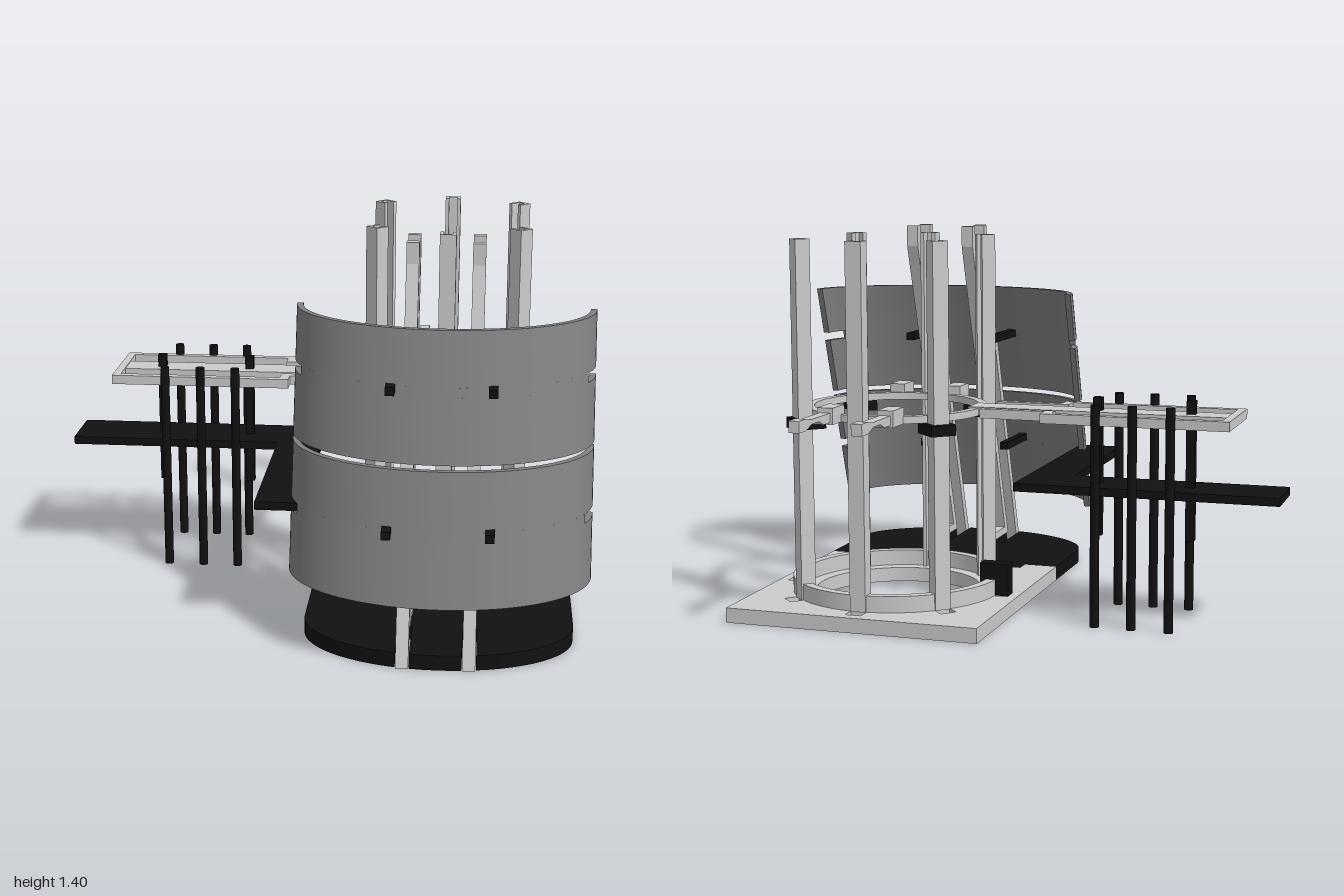
import * as THREE from 'three';
import { toCreasedNormals } from 'three/addons/utils/BufferGeometryUtils.js';

const GREY = new THREE.MeshStandardMaterial({ color: 0xcccccc });
const DARK = new THREE.MeshStandardMaterial({ color: 0x808080 });
const BLACK = new THREE.MeshStandardMaterial({ color: 0x111111 });
const CX = 0.46, CZ = -0.245; // centre of the round frame

export function createModel() {
  const root = new THREE.Group();
  const add = (name, geo, mat = GREY) => {
    const m = new THREE.Mesh(geo, mat);
    m.name = name;
    root.add(m);
    return m;
  };
  // Box from its limits on each axis
  const box = (name, x0, x1, y0, y1, z0, z1, mat) =>
    add(name, new THREE.BoxGeometry(x1 - x0, y1 - y0, z1 - z0)
      .translate((x0 + x1) / 2, (y0 + y1) / 2, (z0 + z1) / 2), mat);
  const poly = (pts) => new THREE.Shape(pts.map(([a, b]) => new THREE.Vector2(a, b)));
  const rect = (x0, x1, z0, z1) => poly([[x0, z0], [x1, z0], [x1, z1], [x0, z1]]);
  // Plan outline (x, z) raised from y0 to y1
  const slab = (shape, y0, y1) => toCreasedNormals(
    new THREE.ExtrudeGeometry(shape, { depth: y1 - y0, bevelEnabled: false, curveSegments: 48 })
      .rotateX(Math.PI / 2).translate(0, y1, 0), 0.5);
  // Side outline (z, y) given a width along x
  const side = (pts, x, w) =>
    new THREE.ExtrudeGeometry(poly(pts), { depth: w, bevelEnabled: false })
      .rotateY(-Math.PI / 2).translate(x + w / 2, 0, 0);
  const circle = (r, x = 0, z = 0) => new THREE.Shape().absarc(x, z, r, 0, Math.PI * 2);
  const ring = (name, ri, ro, y0, y1) => {
    const s = circle(ro, CX, CZ);
    s.holes.push(circle(ri, CX, CZ));
    add(name, slab(s, y0, y1));
  };

  // Base plate with round opening, eight slots and two joint notches
  const plate = poly([[-0.02, -0.73], [0.94, -0.73], [0.94, 0.24], [0.81, 0.24], [0.81, 0.18],
    [0.69, 0.18], [0.69, 0.24], [0.225, 0.24], [0.225, 0.18], [0.11, 0.18], [0.11, 0.24], [-0.02, 0.24]]);
  plate.holes.push(circle(0.31, CX, CZ));
  for (let i = 0; i < 8; i++) {
    const a = i * Math.PI / 4, c = Math.cos(a), s = Math.sin(a);
    plate.holes.push(poly([[0.39, -0.03], [0.445, -0.03], [0.445, 0.03], [0.39, 0.03]]
      .map(([r, t]) => [CX + r * c - t * s, CZ + r * s + t * c])));
  }
  add('basePlate', slab(plate, 0, 0.055));
  ring('baseRing', 0.36, 0.395, 0.055, 0.115);
  ring('upperRing', 0.305, 0.337, 0.73, 0.757);
  box('baseClip', 0.015, 0.125, 0.055, 0.175, -0.27, -0.215, BLACK);

  // Front base: rounded end, joint tabs and slots for the strut feet
  const frontZ = (x) => 0.55 + 0.3 * Math.sqrt(Math.max(0, 1 - ((x - CX) / 0.48) ** 2));
  const edge = [];
  for (let i = 0; i <= 32; i++) {
    const x = CX + 0.48 * Math.cos(i / 32 * Math.PI);
    if (![0.345, 0.575].some((c) => Math.abs(x - c) < 0.026)) edge.push([x, frontZ(x)]);
  }
  for (const c of [0.345, 0.575]) {
    const a = c + 0.025, b = c - 0.025;
    edge.push([a, frontZ(a)], [a - 1e-5, 0.6], [b + 1e-5, 0.6], [b, frontZ(b)]);
  }
  edge.sort((p, q) => q[0] - p[0]);
  add('frontBase', slab(poly([[-0.02, 0.24], [0.11, 0.24], [0.11, 0.18], [0.225, 0.18], [0.225, 0.24],
    [0.69, 0.24], [0.69, 0.18], [0.81, 0.18], [0.81, 0.24], [0.94, 0.24], ...edge]), 0, 0.055), BLACK);

  // Channel posts open toward the centre; clamps on the diagonal ones
  const channel = poly([[-0.03, 0.345], [-0.016, 0.345], [-0.016, 0.386], [0.016, 0.386],
    [0.016, 0.345], [0.03, 0.345], [0.03, 0.4], [-0.03, 0.4]]);
  const clamp = rect(-0.0475, 0.0475, 0.3, 0.418);
  clamp.holes.push(rect(-0.03, 0.03, 0.345, 0.4));
  const around = (mesh, a) => {
    mesh.position.set(CX, 0, CZ);
    mesh.rotation.y = a;
  };
  for (const k of [0, 1, 3, 4, 5, 7]) {
    around(add('post', slab(channel, 0.055, 1.38)), k * Math.PI / 4);
    if (k % 2) around(add('postClamp', slab(clamp, 0.69, 0.73), BLACK), k * Math.PI / 4);
  }

  for (const x of [0.345, 0.575]) {
    // Ring brackets and the rear arms
    box('frontBracket', x - 0.03, x + 0.03, 0.73, 0.79, 0.055, 0.16);
    box('rearBracket', x - 0.03, x + 0.03, 0.73, 0.79, -0.645, -0.54);
    add('rearArm', side([[-0.64, 0.738], [-0.7, 0.738], [-0.74, 0.755], [-0.8, 0.755], [-0.85, 0.738],
      [-0.905, 0.738], [-0.905, 0.78], [-0.85, 0.78], [-0.8, 0.772], [-0.64, 0.772]], x, 0.04));
    // Leaning shield struts
    add('frontStrut', side([[0.41, 1.4], [0.375, 1.4], [0.375, 1.32], [0.81, 0], [0.848, 0],
      [0.41, 1.325]], x, 0.045));
    add('rearStrut', side([[0.268, 1.4], [0.235, 1.4], [0.235, 1.32], [0.635, 0.115], [0.465, 0.115],
      [0.465, 0.05], [0.505, 0.05], [0.505, 0.085], [0.68, 0.085], [0.268, 1.325]], x, 0.045));
  }

  // Curved shield in two leaning panels, each notched at its side edges
  const band = (y0, y1, a0) => {
    const out = [], inn = [], n = 48;
    for (let i = 0; i <= n; i++) {
      const a = a0 + (Math.PI - 2 * a0) * i / n;
      out.push([CX + 0.535 * Math.cos(a), 0.36 * Math.sin(a)]);
      inn.unshift([CX + 0.512 * Math.cos(a), 0.337 * Math.sin(a)]);
    }
    const g = new THREE.ExtrudeGeometry(poly([...out, ...inn]), { depth: y1 - y0, bevelEnabled: false })
      .rotateX(Math.PI / 2).translate(0, y1, 0);
    const p = g.attributes.position;
    for (let i = 0; i < p.count; i++) p.setZ(i, p.getZ(i) + 0.245 + 0.331 * (1.137 - p.getY(i)));
    g.computeVertexNormals();
    add('shieldPanel', toCreasedNormals(g, 0.5), DARK);
  };
  for (const [y0, n0, n1, y1] of [[0.245, 0.458, 0.49, 0.685], [0.705, 0.923, 0.955, 1.14]]) {
    band(y0, n0, 0);
    band(n0, n1, 0.35);
    band(n1, y1, 0);
  }
  // Pins joining the shield to the struts
  for (const x of [0.285, 0.635]) {
    box('shieldPin', x - 0.016, x + 0.016, 0.93, 0.96, 0.355, 0.695, BLACK);
    box('shieldPin', x - 0.016, x + 0.016, 0.47, 0.5, 0.51, 0.85, BLACK);
  }

  // Side platform, L-shaped in plan
  add('sidePlatform', slab(poly([[-1, -0.33], [-0.025, -0.33], [-0.025, 0.58], [-0.195, 0.58],
    [-0.195, -0.105], [-1, -0.105]]), 0.465, 0.495), BLACK);

  // Side tray: centre plank, outer frame and arms to the ring
  box('trayPlank', -0.83, 0.165, 0.732, 0.762, -0.278, -0.166);
  box('trayEnd', -0.83, -0.8, 0.73, 0.765, -0.395, -0.053);
  for (const s of [-1, 1]) {
    const bar = (name, x0, x1, d0, d1) => {
      const a = -0.224 + s * d0, b = -0.224 + s * d1;
      box(name, x0, x1, 0.73, 0.765, Math.min(a, b), Math.max(a, b));
    };
    bar('trayRail', -0.83, -0.145, 0.141, 0.171);
    bar('trayCorner', -0.18, -0.145, 0.085, 0.141);
    bar('trayArm', -0.18, 0.1, 0.085, 0.115);
    // Hanging round rods
    for (const x of [-0.622, -0.485, -0.35])
      add('roundRod', new THREE.CylinderGeometry(0.017, 0.017, 0.805, 16)
        .translate(x, 0.4025, -0.222 + s * 0.172), BLACK);
  }
  for (const x of [-0.66, -0.315])
    box('squareRod', x - 0.016, x + 0.016, 0.3, 0.81, -0.235, -0.203, BLACK);

  return root;
}
